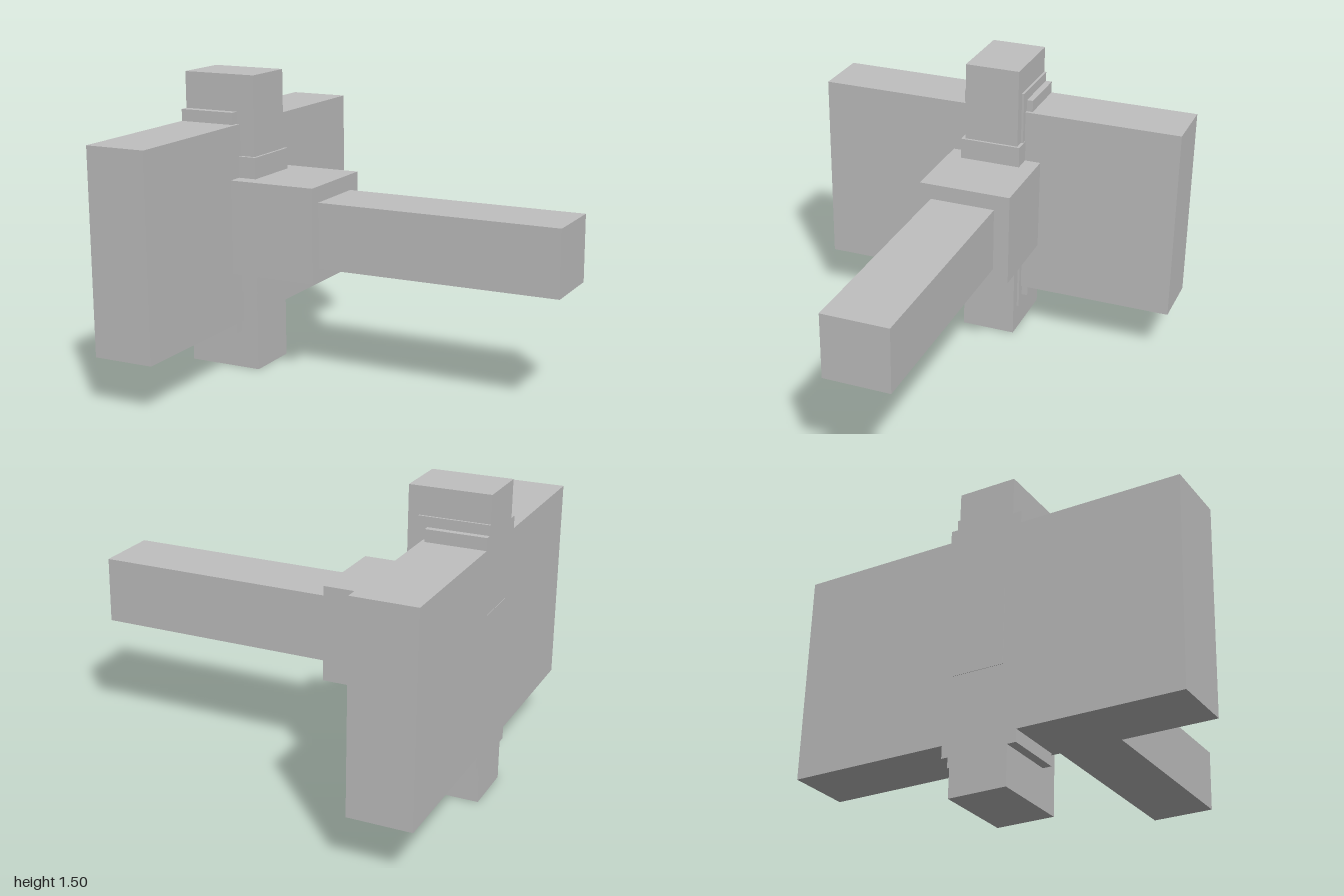
import * as THREE from 'three';

export function createModel() {
  const group = new THREE.Group();
  const grey = new THREE.MeshStandardMaterial({ color: 0xbfbfbf });
  grey.name = 'plain grey';

  // Adds a block spanning the given [min, max] ranges
  function block(name, [x0, x1], [y0, y1], [z0, z1]) {
    const mesh = new THREE.Mesh(new THREE.BoxGeometry(x1 - x0, y1 - y0, z1 - z0), grey);
    mesh.name = name;
    mesh.position.set((x0 + x1) / 2, (y0 + y1) / 2, (z0 + z1) / 2);
    group.add(mesh);
  }

  const back = -0.998;

  // Wide slab crossed by the upright post
  block('slab', [back, -0.688], [0.25, 1.256], [-0.963, 0.963]);
  block('post', [back, -0.607], [0, 1.5], [-0.142, 0.142]);

  // Stepped collars around the post
  block('wideCollar', [back, -0.705], [0.19, 1.316], [-0.185, 0.185]);
  block('postBackPlate', [back, -0.66], [0.14, 1.365], [-0.153, 0]);
  block('frontCollar', [-0.8, -0.594], [0.407, 1.097], [-0.157, 0.16]);

  // Hub and the long arm leaving it
  block('hub', [-0.8, -0.235], [0.515, 0.99], [-0.24, 0.238]);
  block('arm', [-0.3, 1], [0.58, 0.91], [-0.16, 0.178]);

  // Thin panel set on the outer face
  block('outerPanel', [-1, -0.995], [0.57, 0.94], [-0.142, 0.11]);

  return group;
}
